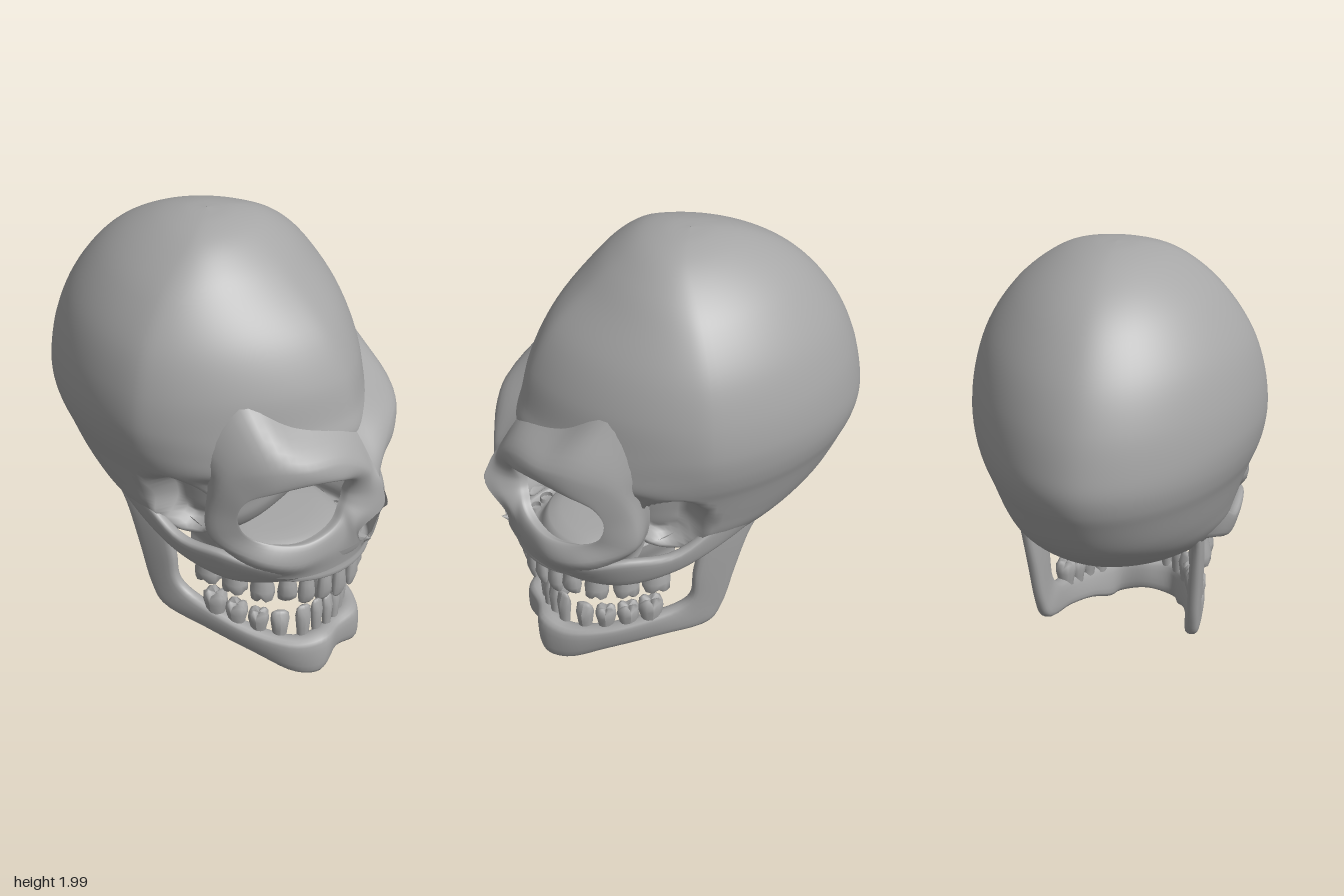
import * as THREE from 'three';

const V = (x, y, z) => new THREE.Vector3(x, y, z);
const bone = new THREE.MeshStandardMaterial({ color: 0xa6a6a6, side: THREE.DoubleSide });

// Smooth skin through a list of loops (each a list of points)
function loft(loops, nu, nv, closed = true) {
  const rows = loops.map(l => {
    const c = new THREE.CatmullRomCurve3(l, closed);
    return Array.from({ length: nu }, (_, i) => c.getPoint(i / (closed ? nu : nu - 1)));
  });
  const pos = [], idx = [];
  for (let i = 0; i < nu; i++) {
    const c = new THREE.CatmullRomCurve3(rows.map(r => r[i]));
    for (let j = 0; j <= nv; j++) pos.push(...c.getPoint(j / nv).toArray());
  }
  const w = nv + 1;
  for (let i = 0; i < (closed ? nu : nu - 1); i++) {
    for (let j = 0; j < nv; j++) {
      const a = i * w + j, b = ((i + 1) % nu) * w + j;
      idx.push(a, b, a + 1, b, b + 1, a + 1);
    }
  }
  const g = new THREE.BufferGeometry();
  g.setAttribute('position', new THREE.Float32BufferAttribute(pos, 3));
  g.setIndex(idx);
  g.computeVertexNormals();
  return g;
}

// Bar of bone from sections: upper edge, lower edge, half thickness, direction of thickness
function strand(sections, nv) {
  const loops = sections.map(([a, b, t, ang]) => {
    const A = V(...a), B = V(...b), mid = A.clone().add(B).multiplyScalar(0.5);
    const h = A.clone().sub(B).multiplyScalar(0.5), n = V(Math.sin(ang), 0, Math.cos(ang));
    return Array.from({ length: 12 }, (_, i) => {
      const q = i / 12 * Math.PI * 2, c = Math.cos(q), s = Math.sin(q);
      return mid.clone().addScaledVector(h, Math.sign(c) * Math.abs(c) ** 0.7)
        .addScaledVector(n, t * Math.sign(s) * Math.abs(s) ** 0.6);
    });
  });
  const cap = l => {
    const m = l.reduce((s, p) => s.add(p), V(0, 0, 0)).divideScalar(l.length);
    return l.map(p => m.clone().lerp(p, 0.02));
  };
  return loft([cap(loops[0]), ...loops, cap(loops[loops.length - 1])], 20, nv);
}

function cranium() {
  // height, back x, front x, half width, front squareness
  const rows = [
    [2.0, -0.081, -0.079, 0.001, 2], [1.99, -0.19, 0.03, 0.11, 2], [1.955, -0.32, 0.135, 0.225, 1.95],
    [1.88, -0.47, 0.245, 0.345, 1.85], [1.78, -0.59, 0.355, 0.45, 1.7], [1.62, -0.71, 0.51, 0.555, 1.6],
    [1.45, -0.785, 0.6, 0.608, 1.6], [1.3, -0.82, 0.64, 0.622, 1.6], [1.2, -0.83, 0.665, 0.61, 1.65],
    [1.12, -0.815, 0.62, 0.588, 1.85], [1.05, -0.785, 0.42, 0.56, 2.4], [0.9, -0.7, 0.36, 0.51, 2.8],
    [0.8, -0.59, 0.34, 0.475, 2.8], [0.7, -0.43, 0.28, 0.4, 2.5], [0.63, -0.27, 0.13, 0.24, 2], [0.6, -0.14, -0.1, 0.01, 2]];
  const loops = rows.map(([y, b, f, w, n]) => {
    const xc = Math.min(0, (b + f) / 2 + 0.2 * (f - b));
    return Array.from({ length: 32 }, (_, i) => {
      const q = i / 32 * Math.PI * 2, c = Math.cos(q), s = Math.sin(q);
      const e = 2 / (c > 0 ? n : 1.8);
      return V(xc + (c > 0 ? f - xc : xc - b) * Math.sign(c) * Math.abs(c) ** e, y,
        w * Math.sign(s) * Math.abs(s) ** e);
    });
  });
  const g = loft(loops, 96, 90);
  // Hollow behind each cheekbone
  const p = g.attributes.position;
  for (let i = 0; i < p.count; i++) {
    const d = Math.hypot((p.getX(i) - 0.13) / 0.14, (p.getY(i) - 0.9) / 0.18);
    p.setZ(i, p.getZ(i) * (1 - 0.26 * (1 - THREE.MathUtils.smoothstep(d, 0.65, 1.05))));
  }
  g.computeVertexNormals();
  return g;
}

// Half of the face, skinned outward from the rim of the eye socket
function faceHalf() {
  const rim = [[.69, .97, .08], [.72, 1.05, .1], [.72, 1.1, .19], [.66, 1.12, .31], [.56, 1.1, .42], [.46, 1.05, .475],
    [.42, .97, .485], [.44, .88, .465], [.52, .82, .4], [.62, .8, .3], [.67, .82, .2], [.69, .86, .14], [.69, .9, .11], [.69, .93, .09]];
  const mid = [[.76, .98, .04], [.76, 1.08, .05], [.72, 1.17, .16], [.65, 1.2, .33], [.54, 1.21, .44], [.38, 1.14, .505],
    [.29, .97, .505], [.3, .83, .505], [.5, .75, .455], [.62, .71, .34], [.69, .74, .2], [.72, .78, .13], [.74, .85, .11], [.76, .92, .06]];
  const outer = [[.8, 1, 0], [.735, 1.11, 0], [.625, 1.26, .015], [.515, 1.33, .26], [.37, 1.43, .415], [.25, 1.2, .5],
    [.2, 1, .36], [.2, .8, .36], [.3, .67, .42], [.54, .63, .36], [.67, .63, .2], [.73, .67, .03], [.75, .8, .085], [.82, .92, .015]];
  const lip = rim.map(([x, y, z]) => [x - 0.04, 0.96 + (y - 0.96) * 1.03, 0.29 + (z - 0.29) * 1.03]);
  return loft([lip, rim, mid, outer].map(l => l.map(p => V(...p))), 70, 18);
}

// Upper jaw: horseshoe band wrapped under to the palate
function upperJaw() {
  const arch = [[.08, .34], [.25, .35], [.42, .33], [.57, .26], [.66, .14], [.69, 0]];
  const full = [...arch, ...arch.slice(0, 5).reverse().map(([x, z]) => [x, -z])];
  const rows = [[.72, 1.08], [.68, 1.06], [.62, 1.01], [.57, 1.01], [.56, .95], [.575, .86], [.65, .78], [.68, .4], [.68, .02]];
  return loft(rows.map(([y, s]) => full.map(([x, z]) =>
    V(0.05 + (x - 0.05) * s, y + (x < 0.1 ? 0.05 : 0), z * s))), 50, 28, false);
}

function lowerJaw() {
  const half = [
    [[-.2, .76, .37], [-.3, .85, .38], .015, 0], [[-.05, .69, .36], [-.24, .72, .375], .025, 0],
    [[.0, .52, .35], [-.185, .52, .36], .03, 0], [[.01, .38, .34], [-.13, .3, .345], .03, 0],
    [[.06, .32, .325], [-.08, .21, .335], .035, .1], [[.2, .27, .31], [.14, .15, .3], .04, .2],
    [[.38, .22, .27], [.36, .08, .245], .045, .4], [[.53, .2, .2], [.52, .01, .185], .05, .8],
    [[.595, .21, .11], [.585, .01, .14], .055, 1.45]];
  const flip = ([a, b, t, q]) => [[a[0], a[1], -a[2]], [b[0], b[1], -b[2]], t, Math.PI - q];
  const mirrored = half.map(flip).reverse();
  return strand([...half, [[.59, .2, 0], [.58, .045, 0], .045, Math.PI / 2], ...mirrored], 100);
}

// Tooth growing along +y from its neck; molars get cusps
function tooth(w, d, h, molar) {
  const prof = molar ? [[.36, -.1], [.42, .25], [.52, .6], [.5, .9], [.32, 1], [.01, .88]]
    : [[.36, -.1], [.44, .3], [.52, .65], [.48, .92], [.3, 1], [.01, 1]];
  const g = new THREE.LatheGeometry(prof.map(([r, y]) => new THREE.Vector2(r, y)), 12);
  const p = g.attributes.position;
  for (let i = 0; i < p.count; i++) {
    const a = Math.atan2(p.getZ(i), p.getX(i)), y = p.getY(i);
    if (molar && y > 0.8) p.setY(i, y - 0.1 * Math.cos(4 * a));
    const k = !molar && y > 0.8 ? 0.5 : 1;
    p.setXYZ(i, p.getX(i) * w, p.getY(i) * h, p.getZ(i) * d * k);
  }
  g.computeVertexNormals();
  return g;
}

export function createModel() {
  const model = new THREE.Group();
  const add = (name, geo, parent = model) => {
    const m = new THREE.Mesh(geo, bone);
    m.name = name;
    parent.add(m);
    return m;
  };
  add('cranium', cranium());
  add('upperJaw', upperJaw());
  add('lowerJaw', lowerJaw());

  const spine = add('nasalSpine', new THREE.ConeGeometry(0.04, 0.09, 8));
  spine.rotation.z = -1.2;
  spine.position.set(0.72, 0.7, 0);

  // Tooth rows: x, z, neck height, width, depth, length, molar
  const upper = [[.645, .05, .57, .075, .05, .17, 0], [.62, .125, .57, .07, .05, .15, 0], [.575, .195, .57, .075, .06, .15, 0],
    [.515, .25, .57, .085, .075, .13, 0], [.415, .29, .56, .105, .09, .13, 1], [.29, .315, .56, .115, .095, .13, 1], [.16, .325, .57, .125, .1, .13, 1]];
  const lower = [[.58, .03, .2, .058, .045, .15, 0], [.565, .09, .2, .058, .045, .16, 0], [.535, .15, .19, .07, .055, .16, 0],
    [.455, .21, .19, .08, .07, .13, 0], [.37, .25, .21, .09, .08, .1, 1], [.275, .28, .22, .1, .085, .11, 1], [.18, .305, .245, .11, .09, .12, 1]];

  for (const s of [1, -1]) {
    const side = new THREE.Group();
    side.name = s > 0 ? 'leftFace' : 'rightFace';
    side.scale.z = s;
    model.add(side);
    add('eyeSocketAndBrow', faceHalf(), side);
    add('cheekArch', strand([
      [[.61, .67, .3], [.59, .6, .25], .015, .6], [[.5, .71, .41], [.48, .58, .34], .025, .4],
      [[.33, .75, .47], [.33, .575, .41], .03, .2], [[.12, .74, .47], [.12, .625, .44], .03, 0],
      [[-.08, .86, .455], [-.08, .71, .43], .027, 0], [[-.28, .98, .43], [-.27, .81, .38], .02, -.3]], 34), side);
    for (const [rowName, row, dir] of [['upperTooth', upper, -1], ['lowerTooth', lower, 1]]) {
      for (const [x, z, y, w, d, h, molar] of row) {
        const t = add(rowName, tooth(w, d, h, molar), side);
        t.position.set(x, y, z);
        // Turn the width of the tooth along the jaw
        t.rotation.set(dir < 0 ? Math.PI : 0, dir * Math.atan2(Math.max(0, x - 0.3) * 1.2, z), 0);
      }
    }
  }
  return model;
}
